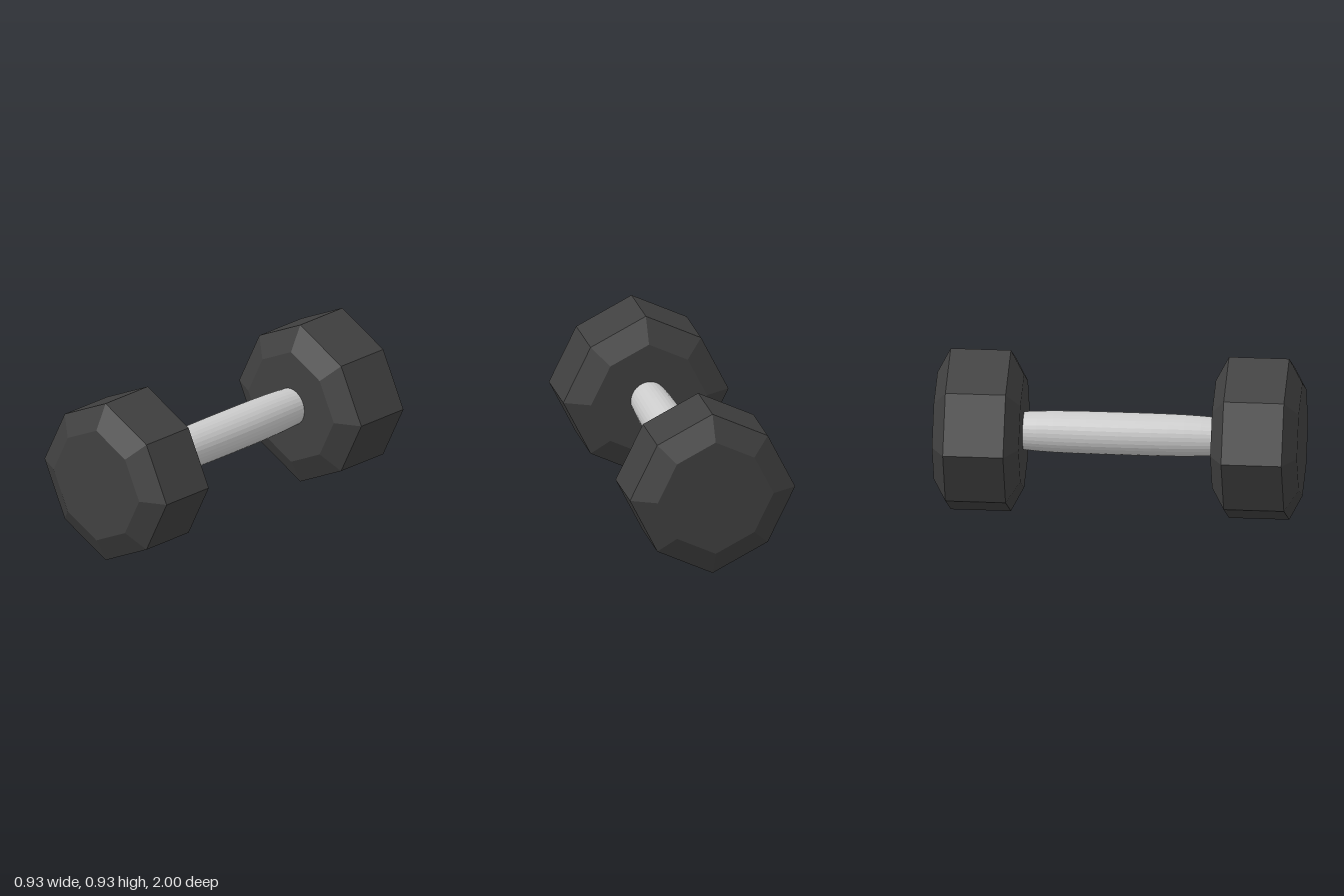
import * as THREE from 'three';

const CENTRE_Y = 0.465;

// Turn a profile of [radius, z] around the z axis, with hard facets.
function turned(profile, sides, reshape) {
  const points = profile.map(([r, z]) => new THREE.Vector2(r, z));
  const lathe = new THREE.LatheGeometry(points, sides).rotateX(Math.PI / 2);
  const pos = lathe.attributes.position;
  for (let i = 0; i < pos.count; i++) {
    const [x, y] = reshape(pos.getX(i), pos.getY(i), pos.getZ(i));
    pos.setXY(i, x, y);
  }
  const geometry = lathe.toNonIndexed();
  geometry.computeVertexNormals();
  return geometry;
}

export function createModel() {
  const model = new THREE.Group();
  model.name = 'dumbbell';

  const rubber = new THREE.MeshStandardMaterial({ color: 0x404040, flatShading: true });
  const metal = new THREE.MeshStandardMaterial({ color: 0xcccccc, flatShading: true });

  // Eight-sided bevelled weights; the diagonal corners sit slightly closer in
  const weightProfile = [[0, -0.2375], [0.325, -0.2375], [0.464, -0.165],
    [0.464, 0.165], [0.325, 0.2375], [0, 0.2375]];
  const weight = turned(weightProfile, 8, (x, y) => {
    const s = Math.abs(x * y) > 1e-4 ? 0.946 : 1;
    return [x * s, y * s];
  });
  for (const side of [1, -1]) {
    const mesh = new THREE.Mesh(weight, rubber);
    mesh.name = side > 0 ? 'frontWeight' : 'backWeight';
    mesh.position.set(0, CENTRE_Y, side * 0.7625);
    model.add(mesh);
  }

  // Grip swells towards the middle, fuller in height than in width
  const gripProfile = [];
  for (let i = 0; i <= 12; i++) gripProfile.push([1, -0.54 + i * 0.09]);
  const grip = turned(gripProfile, 32, (x, y, z) => {
    const t = Math.abs(z) / 0.54;
    return [x * (0.117 - 0.016 * t ** 2), y * (0.117 - 0.013 * t ** 4)];
  });
  const handle = new THREE.Mesh(grip, metal);
  handle.name = 'handle';
  handle.position.y = CENTRE_Y + 0.003;
  model.add(handle);

  return model;
}
